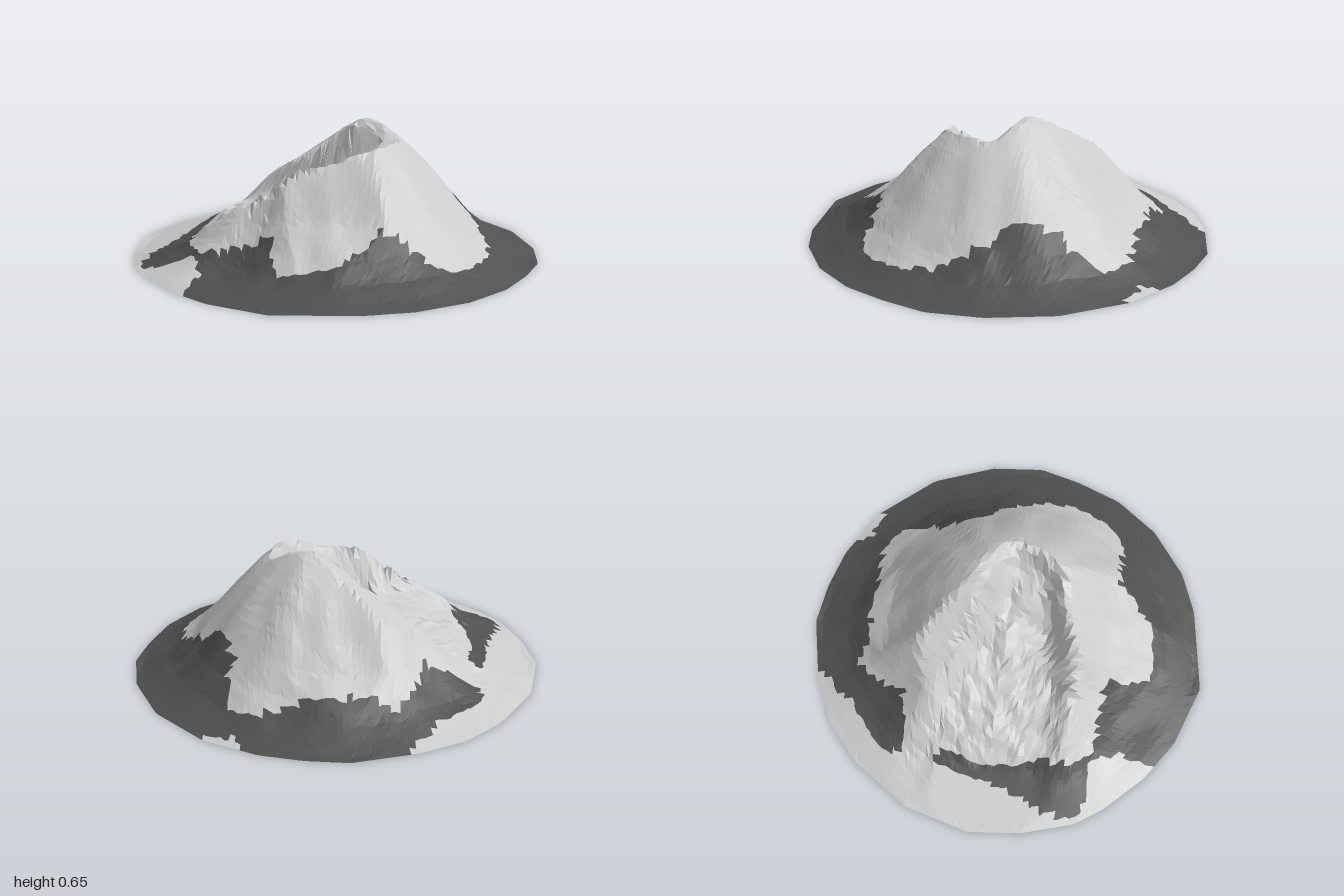
import * as THREE from 'three';

const { lerp, smoothstep } = THREE.MathUtils;

// Piecewise-linear curve through [position, value] pairs
function curve(points) {
  return (t) => {
    if (t <= points[0][0]) return points[0][1];
    for (let i = 1; i < points.length; i++) {
      const [a, va] = points[i - 1], [b, vb] = points[i];
      if (t <= b) return va + ((vb - va) * (t - a)) / (b - a);
    }
    return points[points.length - 1][1];
  };
}

// Seeded hash noise in -1..1
function hash(i, j, k) {
  const s = Math.sin(i * 127.1 + j * 311.7 + k * 74.7) * 43758.5453;
  return (s - Math.floor(s)) * 2 - 1;
}

function valueNoise(x, z, k) {
  const i = Math.floor(x), j = Math.floor(z);
  const u = smoothstep(x - i, 0, 1), v = smoothstep(z - j, 0, 1);
  return lerp(lerp(hash(i, j, k), hash(i + 1, j, k), u), lerp(hash(i, j + 1, k), hash(i + 1, j + 1, k), u), v);
}

// Angle in steps of 10 degrees, 0..36, from +x towards +z
const tenths = (x, z) => ((Math.atan2(z, x) / Math.PI) * 18 + 36) % 36;

// Straight-sided outline of the base
const rim = [
  [1, 0.04], [0.95, 0.25], [0.87, 0.47], [0.72, 0.68], [0.5, 0.85], [0.3, 0.93], [-0.11, 1],
  [-0.41, 0.9], [-0.61, 0.77], [-0.8, 0.58], [-0.89, 0.45], [-0.97, 0.2], [-1, -0.06], [-0.92, -0.38],
  [-0.73, -0.67], [-0.55, -0.83], [-0.33, -0.93], [-0.03, -1], [0.17, -0.975], [0.37, -0.92], [0.62, -0.78],
  [0.85, -0.52], [0.97, -0.22],
];

function rimRadius(x, z) {
  for (let i = 0; i < rim.length; i++) {
    const [px, pz] = rim[i], [qx, qz] = rim[(i + 1) % rim.length];
    const s = px * z - pz * x, t = x * qz - z * qx;
    if (s >= 0 && t >= 0) return (px * qz - pz * qx) / (s + t);
  }
  return 1;
}

// Cone profile, and the ridge lines that limit it along x and z
const cone = curve([[0.21, 0.66], [0.3, 0.59], [0.4, 0.5], [0.5, 0.39], [0.6, 0.27], [0.7, 0.16], [0.8, 0.08], [0.9, 0.03], [0.98, 0]]);
const ridgeX = curve([[-0.96, 0], [-0.8, 0.075], [-0.6, 0.18], [-0.4, 0.29], [-0.3, 0.37], [-0.15, 0.46], [0, 0.58],
  [0.1, 0.64], [0.15, 0.655], [0.2, 0.64], [0.24, 0.61], [0.3, 0.59], [0.4, 0.5], [0.5, 0.39], [0.6, 0.27], [0.7, 0.15], [0.8, 0.07], [0.96, 0]]);
const ridgeZ = curve([[-0.96, 0], [-0.8, 0.08], [-0.7, 0.15], [-0.6, 0.22], [-0.5, 0.33], [-0.4, 0.45], [-0.3, 0.55], [-0.2, 0.63],
  [-0.14, 0.655], [-0.09, 0.61], [-0.04, 0.57], [0.07, 0.585], [0.17, 0.605], [0.25, 0.56], [0.3, 0.51], [0.4, 0.4], [0.5, 0.28],
  [0.6, 0.21], [0.7, 0.14], [0.8, 0.08], [0.96, 0]]);
// The western flanks fall away sooner than the rest
const flankInset = curve([[9, 0], [11, 0.09], [12, 0.11], [13, 0.08], [14, 0.03], [15, 0], [19, 0], [20.5, 0.06], [22, 0.05], [24, 0.02], [26, 0]]);

// Breached crater opening towards -x
const craterFloor = curve([[-0.96, 0], [-0.8, 0.045], [-0.68, 0.085], [-0.6, 0.14], [-0.5, 0.18], [-0.4, 0.22], [-0.2, 0.29], [0, 0.36], [0.15, 0.43], [0.3, 0.57]]);
const craterNorth = curve([[-0.6, -0.4], [-0.4, -0.33], [-0.2, -0.23], [0, -0.15], [0.2, -0.1], [0.32, 0]]);
const craterSouth = curve([[-0.6, 0.38], [-0.3, 0.37], [0, 0.32], [0.2, 0.25], [0.32, 0.05]]);

function height(x, z) {
  const r = Math.hypot(x, z), angle = Math.atan2(z, x);
  const inset = flankInset(tenths(x, z)) * smoothstep(r, 0.3, 0.55) * (1 - smoothstep(r, 0.75, 0.95));
  let h = Math.min(cone(r + inset), ridgeX(x), ridgeZ(z));
  // shallow gullies down the flanks
  const flank = smoothstep(r, 0.25, 0.5) * (1 - smoothstep(r, 0.75, 0.95));
  h += flank * 0.006 * (Math.sin(angle * 13 + 3 * r) + valueNoise(x * 14, z * 14, 1));
  // crater bowl with broken rocky ledges
  const inside = Math.min(z - craterNorth(x), craterSouth(x) - z, 0.33 - x);
  h += (Math.min(h, craterFloor(x)) - h) * smoothstep(inside, 0, 0.13);
  const rocky = smoothstep(inside, -0.08, 0.05) * smoothstep(x, -0.72, -0.6);
  h += rocky * (0.016 * valueNoise(x * 13, z * 15, 2) + 0.011 * valueNoise(x * 28, z * 30, 3));
  return Math.max(0, h);
}

// Radii by angle bounding the pale ground around the summit
const paleInner = [
  0.72, 0.78, 0.8, 0.82, 0.8, 0.68, 0.6, 0.66, 0.73, 0.74, 0.75, 0.58, 0.58, 0.66, 0.76, 0.72, 0.66, 0.67,
  0.68, 0.67, 0.69, 0.86, 0.68, 0.6, 0.69, 0.77, 0.69, 0.7, 0.7, 0.75, 0.82, 0.8, 0.64, 0.59, 0.6, 0.66,
];
// Pale patches along the outline
const paleOuter = curve([[12, 1.1], [13, 0.8], [14, 0.76], [15, 0.95], [16, 0.93], [17, 0.8], [18, 0.74], [19, 0.74],
  [20, 0.76], [21, 0.74], [22, 0.86], [23, 0.85], [24, 0.86], [25, 0.94], [26, 1.1], [29.3, 1.1], [30, 0.92], [30.8, 0.96], [31.2, 1.1]]);

function isPale(x, z) {
  const a = tenths(x, z), i = Math.floor(a), r = Math.hypot(x, z);
  return r < lerp(paleInner[i % 36], paleInner[(i + 1) % 36], a - i) || r > paleOuter(a);
}

export function createModel() {
  const group = new THREE.Group();
  group.name = 'mountain';

  // Even square grid bent into the round outline, slightly jittered
  const half = 28, grid = [];
  for (let j = -half; j <= half; j++) {
    const row = [];
    for (let i = -half; i <= half; i++) {
      const ring = Math.max(Math.abs(i), Math.abs(j));
      let angle = 0;
      if (ring > 0) {
        if (Math.abs(i) >= Math.abs(j)) angle = (i < 0 ? Math.PI : 0) + (Math.PI / 4) * (j / i);
        else angle = (j < 0 ? -Math.PI / 2 : Math.PI / 2) - (Math.PI / 4) * (i / j);
      }
      const cos = Math.cos(angle), sin = Math.sin(angle);
      const radius = (ring / half) * rimRadius(cos, sin);
      const wobble = ring < half ? 0.008 : 0;
      const x = radius * cos + wobble * hash(i, j, 5), z = radius * sin + wobble * hash(i, j, 6);
      row.push([x, ring === half ? 0 : height(x, z), z]);
    }
    grid.push(row);
  }

  // Sort the grid cells into pale rock and dark forest
  const pale = [], dark = [];
  for (let j = 0; j < 2 * half; j++) {
    for (let i = 0; i < 2 * half; i++) {
      const a = grid[j][i], b = grid[j][i + 1], c = grid[j + 1][i], d = grid[j + 1][i + 1];
      const list = isPale((a[0] + b[0] + c[0] + d[0]) / 4, (a[2] + b[2] + c[2] + d[2]) / 4) ? pale : dark;
      // the diagonal follows the circle in each quadrant
      if ((i < half) === (j < half)) list.push(...a, ...c, ...b, ...b, ...c, ...d);
      else list.push(...a, ...c, ...d, ...a, ...d, ...b);
    }
  }

  const addGround = (name, positions, color) => {
    const geometry = new THREE.BufferGeometry();
    geometry.setAttribute('position', new THREE.Float32BufferAttribute(positions, 3));
    geometry.computeVertexNormals();
    const material = new THREE.MeshStandardMaterial({ color, flatShading: true, side: THREE.DoubleSide });
    const mesh = new THREE.Mesh(geometry, material);
    mesh.name = name;
    group.add(mesh);
  };
  addGround('paleMountainSlopes', pale, 0xcccccc);
  addGround('darkForestSkirt', dark, 0x505050);
  return group;
}
